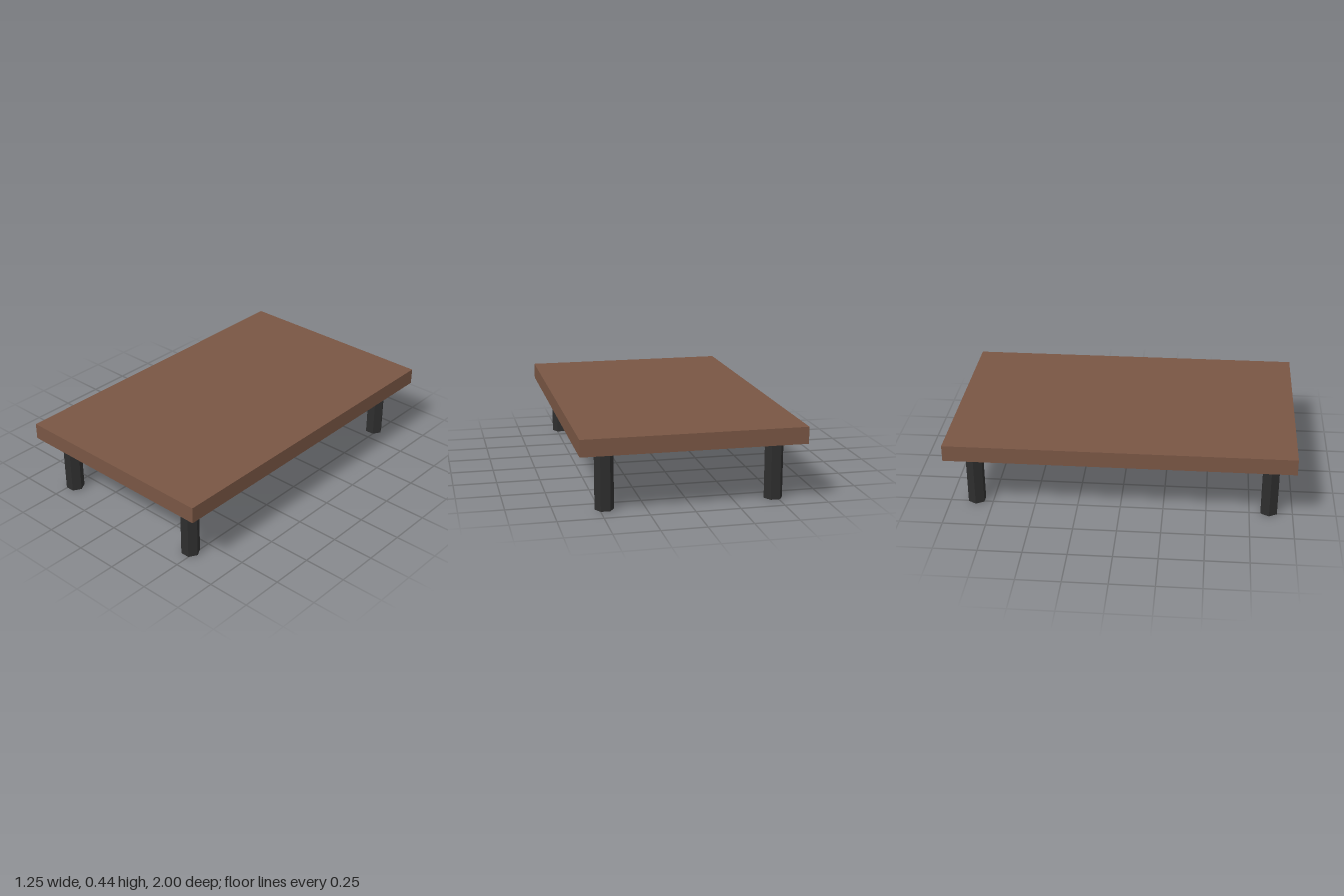
import * as THREE from 'three';

export function createModel() {
  const wood = new THREE.MeshStandardMaterial({ color: 0x795644 });
  wood.name = 'brown wood';
  const metal = new THREE.MeshStandardMaterial({ color: 0x2e2e2e, flatShading: true });
  metal.name = 'black metal';

  const table = new THREE.Group();
  table.name = 'lowTable';

  // Slab top
  const top = new THREE.Mesh(new THREE.BoxGeometry(1.25, 0.095, 2), wood);
  top.name = 'tableTop';
  top.position.y = 0.3875;
  table.add(top);

  // Hexagonal legs with a corner pointing sideways and wooden end caps
  const legHeight = 0.34;
  const legGeometry = new THREE.CylinderGeometry(0.0535, 0.0535, legHeight, 6, 1, false, Math.PI / 2);
  for (const [side, x] of [['Left', 0.473], ['Right', -0.479]]) {
    for (const [end, z] of [['front', 0.864], ['back', -0.848]]) {
      const leg = new THREE.Mesh(legGeometry, [metal, wood, wood]);
      leg.name = `${end}${side}Leg`;
      leg.position.set(x, legHeight / 2, z);
      table.add(leg);
    }
  }
  return table;
}
